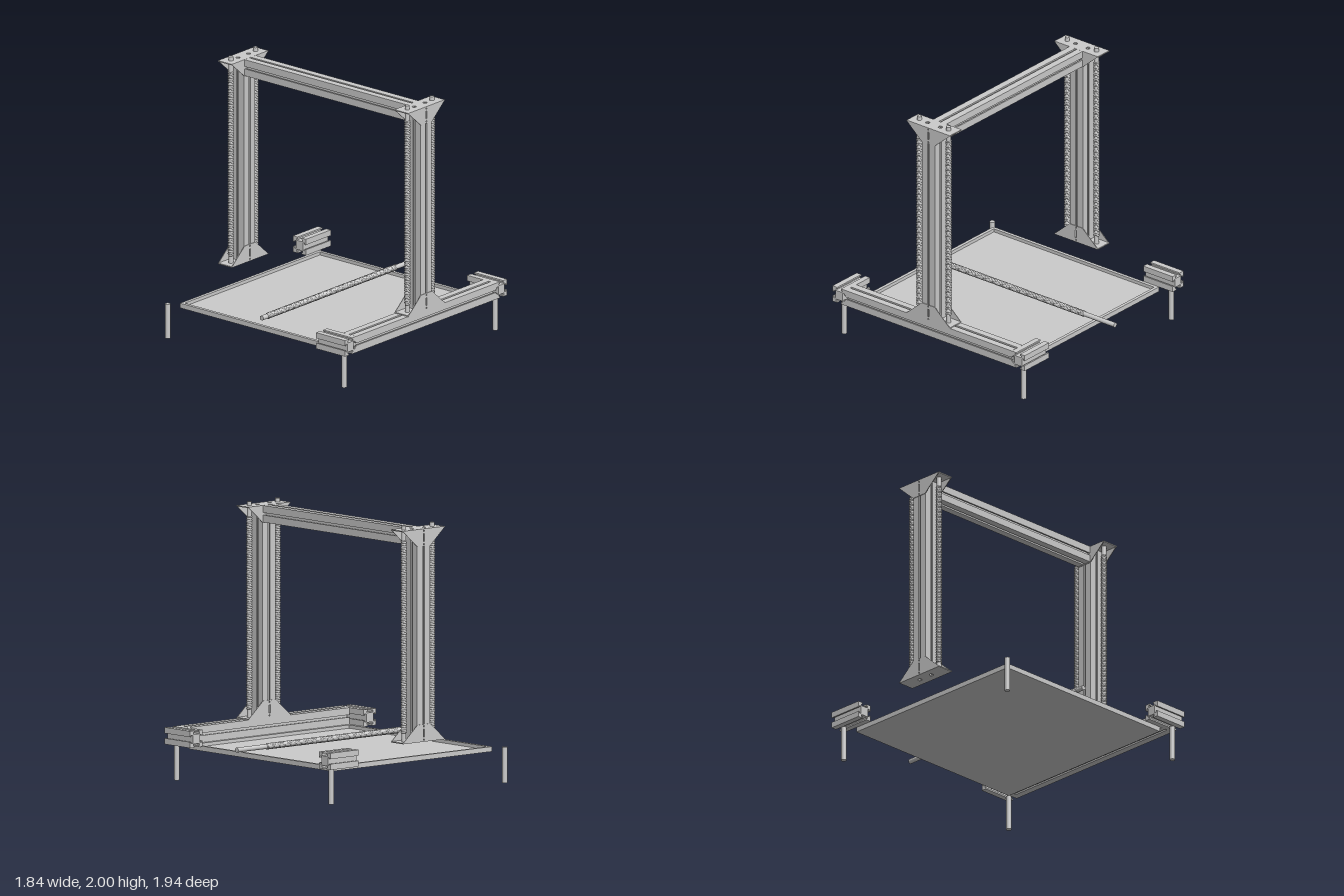
import * as THREE from 'three';

const mat = new THREE.MeshStandardMaterial({ color: 0xcccccc });
const H = 0.0625;   // half width of the slotted profiles
const CX = 0.853;   // post, screw and foot distance from the middle

function add(parent, name, geo, x = 0, y = 0, z = 0) {
  const m = new THREE.Mesh(geo, mat);
  m.name = name;
  m.position.set(x, y, z);
  parent.add(m);
  return m;
}

// Square profile with a T-slot in each side, centred, running along the given axis
function slotted(length, axis, opening) {
  const a = opening / 2, b = 0.03, lip = H - 0.012, floor = H - 0.027;
  const side = [[-H, H], [-a, H], [-a, lip], [-b, lip], [-b, floor], [b, floor], [b, lip], [a, lip], [a, H]];
  const pts = [];
  for (let k = 0; k < 4; k++) {
    for (const [x, y] of side) {
      pts.push(new THREE.Vector2(x, y).rotateAround(new THREE.Vector2(), -k * Math.PI / 2));
    }
  }
  const g = new THREE.ExtrudeGeometry(new THREE.Shape(pts), { depth: length, bevelEnabled: false });
  g.translate(0, 0, -length / 2);
  if (axis === 'x') g.rotateY(Math.PI / 2);
  if (axis === 'y') g.rotateX(-Math.PI / 2);
  return g;
}

// Screw along y: plain core plus a helical thread between t0 and t1
function makeScrew(name, y0, y1, t0, t1) {
  const g = new THREE.Group();
  g.name = name;
  add(g, 'screwCore', new THREE.CylinderGeometry(0.018, 0.018, y1 - y0, 20), 0, (y0 + y1) / 2, 0);
  const pitch = 0.0135, turns = Math.floor((t1 - t0) / pitch) - 1, prof = [];
  for (let i = 0; i < turns; i++) {
    const y = t0 + i * pitch;
    prof.push(new THREE.Vector2(0.0175, y), new THREE.Vector2(0.0235, y + pitch * 0.4),
      new THREE.Vector2(0.0235, y + pitch * 0.6));
  }
  prof.push(new THREE.Vector2(0.0175, t0 + turns * pitch));
  const segs = 16, geo = new THREE.LatheGeometry(prof, segs), p = geo.attributes.position;
  // raise each column of the lathe so one full turn climbs one pitch
  for (let i = 0; i < p.count; i++) {
    p.setY(i, p.getY(i) + pitch * Math.floor(i / prof.length) / segs);
  }
  geo.computeVertexNormals();
  add(g, 'screwThread', geo);
  return g;
}

function circleHole(x, y, r) {
  return new THREE.Path().absarc(x, y, r, 0, Math.PI * 2, true);
}

// Post bracket: flat plate with two triangular cheeks rising from it
function makeBracket(name) {
  const g = new THREE.Group(), W = 0.206, t = 0.005, base = 0.008;
  g.name = name;
  const plate = new THREE.Shape([[-0.0675, -W], [0.0675, -W], [0.0675, W], [-0.0675, W]]
    .map(p => new THREE.Vector2(...p)));
  for (const s of [-1, 1]) plate.holes.push(circleHole(0, s * 0.06, 0.016));
  const pg = new THREE.ExtrudeGeometry(plate, { depth: base, bevelEnabled: false, curveSegments: 10 });
  pg.rotateX(-Math.PI / 2);
  add(g, 'bracketPlate', pg);

  const cheek = new THREE.Shape([[-W, 0], [W, 0], [W, 0.004], [0.0625, 0.13], [-0.0625, 0.13], [-W, 0.004]]
    .map(p => new THREE.Vector2(...p)));
  cheek.holes.push(new THREE.Path([[-0.007, 0.035], [-0.007, 0.095], [0.007, 0.095], [0.007, 0.035]]
    .map(p => new THREE.Vector2(...p))));
  for (const y of [0.016, 0.116]) cheek.holes.push(circleHole(0, y, 0.006));
  const cg = new THREE.ExtrudeGeometry(cheek, { depth: t, bevelEnabled: false, curveSegments: 6 });
  cg.translate(0, 0, -t / 2);
  cg.rotateY(Math.PI / 2);
  for (const s of [-1, 1]) add(g, 'bracketCheek', cg, s * (H + t / 2), 0, 0);
  return g;
}

export function createModel() {
  const root = new THREE.Group();
  root.name = 'gantryFrame';
  const model = new THREE.Group();
  model.name = 'frame';
  model.position.z = 0.052;
  root.add(model);

  // Upright posts with brackets at both ends and a pair of screws each
  const post = slotted(1.564, 'y', 0.018);
  for (const s of [-1, 1]) {
    add(model, 'post', post, s * CX, 1.18, 0);
    const foot = makeBracket('lowerBracket');
    foot.position.set(s * CX, 0.39, 0);
    const head = makeBracket('upperBracket');
    head.position.set(s * CX, 1.97, 0);
    head.rotation.x = Math.PI;
    model.add(foot, head);
    for (const d of [-1, 1]) {
      const screw = makeScrew('verticalScrew', 0.392, 2, 0.45, 1.9);
      screw.position.set(s * CX, 0, d * 0.139);
      model.add(screw);
    }
  }

  // Top crossbar and the lower side rail
  add(model, 'crossbar', slotted(1.572, 'x', 0.018), 0, 1.907, 0);
  add(model, 'sideRail', slotted(1.58, 'z', 0.018), CX, 0.3275, 0);

  // Short corner pieces
  for (const d of [-1, 1]) {
    add(model, 'cornerPiece', slotted(0.28, 'x', 0.037), 0.7755, 0.3275, d * CX);
  }
  add(model, 'cornerPiece', slotted(0.28, 'z', 0.037), -CX, 0.3275, -0.777);

  // Legs
  const leg = new THREE.CylinderGeometry(0.02, 0.02, 0.266, 20);
  for (const s of [-1, 1]) for (const d of [-1, 1]) add(model, 'leg', leg, s * CX, 0.133, d * CX);

  // Shallow tray: floor and raised rim
  const T = 0.788, I = 0.763;
  const square = r => [[-r, -r], [r, -r], [r, r], [-r, r]].map(p => new THREE.Vector2(...p));
  const rim = new THREE.Shape(square(T));
  rim.holes.push(new THREE.Path(square(I)));
  const rimGeo = new THREE.ExtrudeGeometry(rim, { depth: 0.037, bevelEnabled: false });
  rimGeo.rotateX(-Math.PI / 2);
  add(model, 'trayRim', rimGeo, 0, 0.23, 0);
  add(model, 'trayFloor', new THREE.BoxGeometry(2 * I, 0.012, 2 * I), 0, 0.236, 0);

  // Horizontal screw above the tray, plain shaft sticking out at the back
  const drive = makeScrew('horizontalScrew', -0.84, 0.97, -0.785, 0.69);
  drive.rotation.x = -Math.PI / 2;
  drive.position.y = 0.327;
  root.add(drive);

  return root;
}
